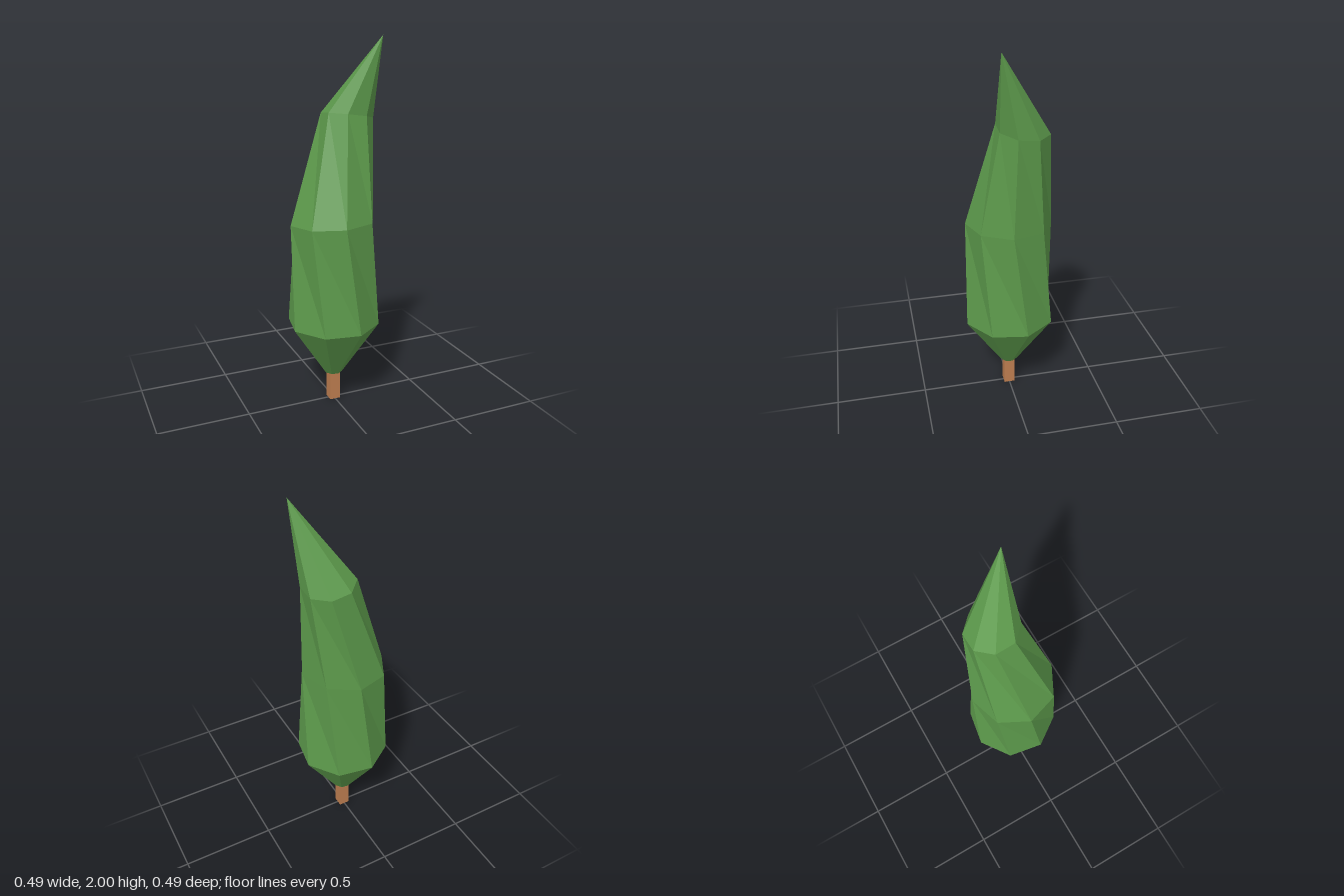
import * as THREE from 'three';

const SIDES = 8;

// One octagonal cross-section: centre, radius, twist and slope of its plane
function ring({ x = 0, y, z = 0, r, twist, slopeX = 0, slopeZ = 0 }) {
  return Array.from({ length: SIDES }, (_, i) => {
    const a = twist + (i / SIDES) * Math.PI * 2;
    const dx = r * Math.sin(a), dz = r * Math.cos(a);
    return [x + dx, y + slopeX * dx + slopeZ * dz, z + dz];
  });
}

// Faceted skin through the rings, closed underneath and pointed on top
function loft(rings, bottom, tip) {
  const positions = [];
  const tri = (...points) => points.forEach((p) => positions.push(...p));
  const last = rings[rings.length - 1];
  for (let i = 0; i < SIDES; i++) {
    const j = (i + 1) % SIDES;
    tri(bottom, rings[0][j], rings[0][i]);
    for (let k = 0; k < rings.length - 1; k++) {
      const low = rings[k], high = rings[k + 1];
      tri(low[i], low[j], high[i]);
      tri(low[j], high[j], high[i]);
    }
    tri(last[i], last[j], tip);
  }
  const geometry = new THREE.BufferGeometry();
  geometry.setAttribute('position', new THREE.Float32BufferAttribute(positions, 3));
  geometry.computeVertexNormals();
  return geometry;
}

export function createModel() {
  const leafGreen = new THREE.MeshStandardMaterial({ color: 0x5c994b });
  leafGreen.name = 'leafGreen';
  const barkBrown = new THREE.MeshStandardMaterial({ color: 0xbe7e50 });
  barkBrown.name = 'barkBrown';

  const tree = new THREE.Group();
  tree.name = 'cypressTree';

  // Square trunk, running a little way into the foliage
  const trunk = new THREE.Mesh(new THREE.BoxGeometry(0.06, 0.18, 0.06), barkBrown);
  trunk.name = 'trunk';
  trunk.position.y = 0.09;
  tree.add(trunk);

  // Twisting foliage that leans over to a bent tip
  const rings = [
    ring({ y: 0.163, r: 0.05, twist: 0.22 }),
    ring({ y: 0.465, r: 0.253, twist: 0.22 }),
    ring({ x: -0.004, y: 1.043, r: 0.232, twist: -0.085, slopeX: 0.04, slopeZ: 0.03 }),
    ring({ x: 0.1, y: 1.593, z: -0.05, r: 0.138, twist: -0.385, slopeX: -0.14, slopeZ: 0.1 }),
  ];
  const foliage = new THREE.Mesh(loft(rings, [0, 0.163, 0], [0.236, 2, 0.085]), leafGreen);
  foliage.name = 'foliage';
  tree.add(foliage);

  return tree;
}
